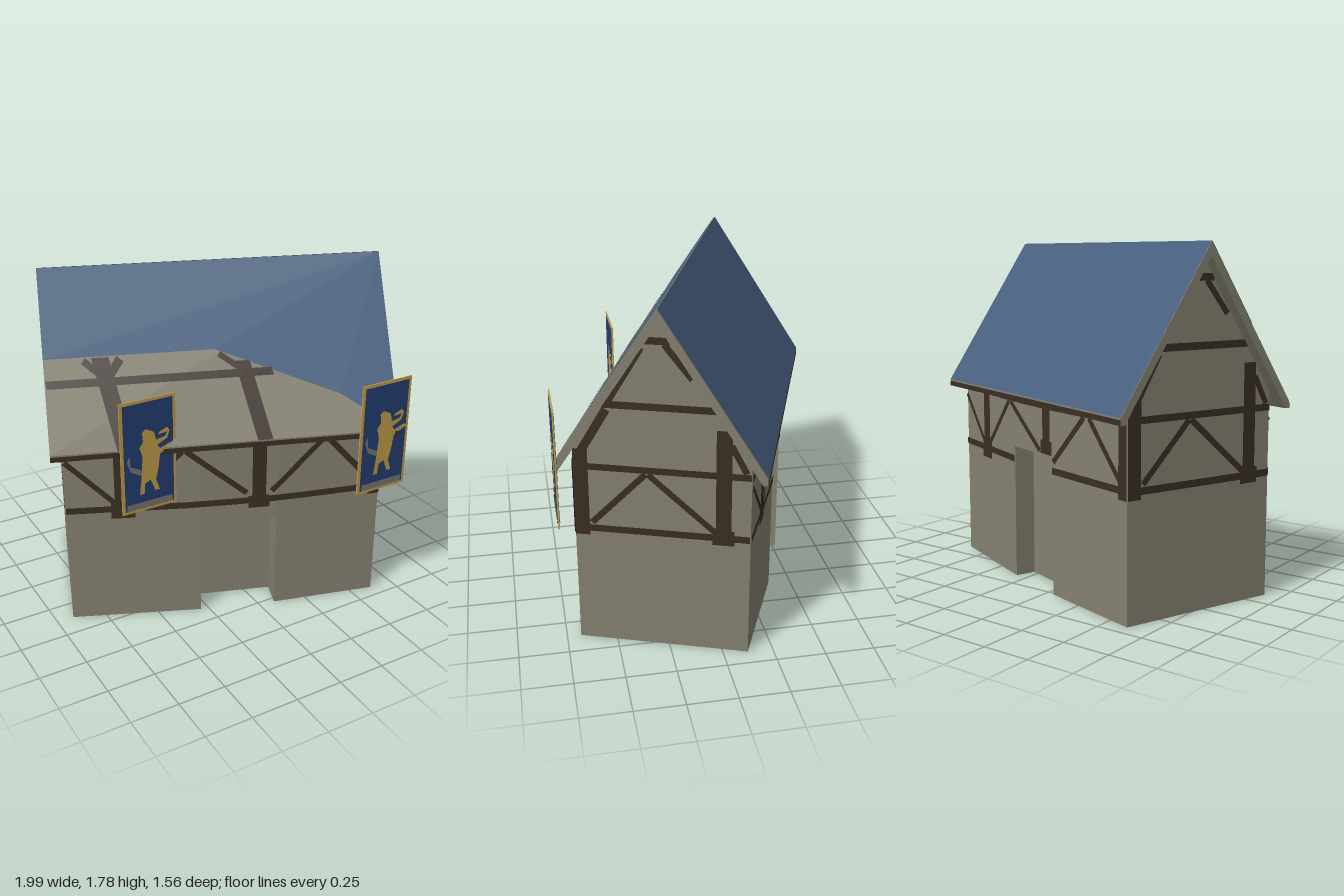
import * as THREE from 'three';

const mat = (name, color) => {
  const m = new THREE.MeshStandardMaterial({ color, side: THREE.DoubleSide });
  m.name = name;
  return m;
};
const V = (x, y, z) => new THREE.Vector3(x, y, z);

// The house is turned on its plot; paint is laid out square to the plot axes.
const TURN = THREE.MathUtils.degToRad(20);
const C = Math.cos(TURN), S = Math.sin(TURN);
const RIDGE = 1.78, PITCH = 1.5415, EAVE = 0.506, HALF_ROOF = 0.875;
const HALF = 0.815, CORNER = 0.427, BOW = 0.47, SKIN = 0.004;
const wallTop = (w) => 1.72 - PITCH * w;

// One mesh from a list of polygons, each fanned from its first point
function patch(name, material, polys) {
  const pos = [];
  for (const p of polys)
    for (let i = 1; i < p.length - 1; i++)
      for (const v of [p[0], p[i], p[i + 1]]) pos.push(v.x, v.y, v.z);
  const g = new THREE.BufferGeometry();
  g.setAttribute('position', new THREE.Float32BufferAttribute(pos, 3));
  g.computeVertexNormals();
  const mesh = new THREE.Mesh(g, material);
  mesh.name = name;
  return mesh;
}

// Straight timber of given width laid onto a surface map (a, b) -> point
function beam(map, [a0, b0, a1, b1, width]) {
  const len = Math.hypot(a1 - a0, b1 - b0), n = 8, out = [];
  const da = (-(b1 - b0) / len) * width / 2, db = ((a1 - a0) / len) * width / 2;
  const at = (t, k) => map(a0 + (a1 - a0) * t + k * da, b0 + (b1 - b0) * t + k * db);
  for (let i = 0; i < n; i++) {
    const t = i / n, s = (i + 1) / n;
    out.push([at(t, -1), at(s, -1), at(s, 1), at(t, 1)]);
  }
  return out;
}

// Front slope of the roof, addressed by plot x and height
function slope(x, y) {
  const w = (RIDGE - y) / PITCH;
  return V((x + w * S) / C, y + SKIN * 0.54, w + SKIN * 0.84);
}
// Same slope, addressed along the ridge
function slopeU(u, y) {
  return V(u, y + SKIN * 0.4, (RIDGE - y) / PITCH + SKIN * 0.6);
}

// Long bowed wall with a door recess, plus the gable at its right end
function halfHouse(d0, d1, h, depth, mats) {
  const g = new THREE.Group();
  const inner = BOW - depth;
  const panel = (u0, w0, u1, w1, y0, y1, y2 = y1) =>
    [V(u0, y0, w0), V(u1, y0, w1), V(u1, y2, w1), V(u0, y1, w0)];
  g.add(patch('longWall', mats.plaster, [
    panel(-HALF, CORNER, d0, BOW, 0, wallTop(CORNER), wallTop(BOW)),
    panel(d1, BOW, HALF, CORNER, 0, wallTop(BOW), wallTop(CORNER)),
    panel(d0, BOW, d1, BOW, h, wallTop(BOW)),
  ]));
  g.add(patch('doorRecess', mats.plaster, [
    panel(d0, BOW, d0, inner, 0, h),
    panel(d0, inner, d1, inner, 0, h),
    panel(d1, inner, d1, BOW, 0, h),
    [V(d0, h, inner), V(d1, h, inner), V(d1, h, BOW), V(d0, h, BOW)],
  ]));
  g.add(patch('gableWall', mats.plaster, [[
    V(HALF, 0, CORNER), V(HALF, 0, -CORNER), V(HALF, wallTop(CORNER), -CORNER),
    V(HALF, 1.72, 0), V(HALF, wallTop(CORNER), CORNER),
  ]]));

  // Timbers of the long wall, kept clear of a tall door
  const wallW = (u) => {
    const t = u < d0 ? (u + HALF) / (d0 + HALF) : u > d1 ? (HALF - u) / (HALF - d1) : 1;
    return CORNER + (BOW - CORNER) * Math.max(0, t);
  };
  const onWall = (u, y) => V(u, y, wallW(u) + SKIN + 0.001);
  const tall = h > 0.6;
  const low = tall ? h + 0.01 : 0.6, foot = tall ? h + 0.02 : 0.69;
  const rails = tall
    ? [[-HALF, 0.645, d0, 0.645, 0.035], [d1, 0.645, HALF, 0.645, 0.035]]
    : [[-HALF, 0.645, HALF, 0.645, 0.035]];
  const timbers = [
    ...rails,
    [-HALF, 0.965, HALF, 0.965, 0.03],
    [0.164, low, 0.164, 0.98, 0.072], [0.164, low, 0.164, low + 0.07, 0.11],
    [-0.53, 0.6, -0.53, 0.98, 0.08], [-0.53, 0.59, -0.53, 0.68, 0.12],
    [0.785, 0.6, 0.785, 1.0, 0.06],
    [-0.81, 0.92, -0.57, 0.68, 0.028], [-0.49, 0.68, -0.23, 0.95, 0.028],
    [-0.21, 0.95, 0.1, foot, 0.03], [0.23, 0.69, 0.49, 0.95, 0.03],
    [0.53, 0.95, 0.77, 0.68, 0.03],
  ];
  g.add(patch('wallTimbers', mats.timber, timbers.flatMap((t) => beam(onWall, t))));

  // Timbers of the gable, addressed by plot z and height
  const onGable = (z, y) => V(HALF + SKIN, y, (z - HALF * S) / C);
  const gable = [
    [0.679, 0.64, -0.12, 0.64, 0.036], [0.679, 0.97, -0.12, 0.97, 0.034],
    [0.55, 1.295, 0.01, 1.295, 0.036], [0.35, 1.615, 0.22, 1.615, 0.035],
    [0.645, 0.6, 0.645, 1.06, 0.068], [0.0, 0.6, 0.0, 1.2, 0.07],
    [0.0, 0.6, 0.0, 0.68, 0.1],
    [0.35, 0.95, 0.6, 0.67, 0.03], [0.34, 0.95, 0.04, 0.67, 0.03],
    [0.65, 1.03, 0.52, 1.27, 0.04], [0.51, 1.31, 0.36, 1.58, 0.03],
    [0.26, 1.6, 0.14, 1.44, 0.03], [-0.1, 0.99, -0.03, 1.13, 0.03],
  ];
  g.add(patch('gableTimbers', mats.timber, gable.flatMap((t) => beam(onGable, t))));

  // Dark edge under the eaves
  const eave = new THREE.Mesh(new THREE.BoxGeometry(2 * HALF_ROOF, 0.026, 0.004), mats.timber);
  eave.name = 'eaveEdge';
  eave.position.set(0, 0.979, EAVE + 0.001);
  g.add(eave);
  return g;
}

function makeBanner(mats) {
  const g = new THREE.Group();
  g.name = 'banner';
  const cloth = new THREE.Mesh(new THREE.BoxGeometry(0.3, 0.6, 0.006), mats.gold);
  cloth.name = 'bannerBorder';
  g.add(cloth);
  const shape = (pts) => new THREE.ShapeGeometry(new THREE.Shape(pts.map(([x, y]) => new THREE.Vector2(x, y))));
  // Rearing beast and its tail
  const beast = [
    [-0.035, 0.13], [-0.015, 0.145], [0.03, 0.12], [0.04, 0.075], [0.09, 0.085], [0.1, 0.105],
    [0.05, 0.1], [0.06, 0.115], [0.1, 0.13], [0.115, 0.11], [0.1, 0.07], [0.045, 0.045], [0.06, 0.025],
    [0.12, 0.045], [0.14, 0.03], [0.06, -0.005], [0.05, -0.08], [0.035, -0.14], [0.055, -0.2],
    [0.03, -0.2], [0.005, -0.135], [-0.025, -0.15], [-0.03, -0.205], [-0.055, -0.205],
    [-0.045, -0.12], [-0.035, 0.0], [-0.05, 0.05], [-0.03, 0.08],
  ];
  const tail = [
    [-0.045, -0.1], [-0.1, -0.07], [-0.12, -0.01], [-0.105, 0.02], [-0.1, -0.04], [-0.042, -0.07],
  ];
  for (const turn of [0, Math.PI]) {
    const face = new THREE.Group();
    face.name = 'bannerFace';
    const add = (name, geo, m, y, z) => {
      const mesh = new THREE.Mesh(geo, m);
      mesh.name = name;
      mesh.position.set(0, y, z);
      face.add(mesh);
    };
    add('field', new THREE.PlaneGeometry(0.268, 0.57), mats.navy, 0, 0.005);
    add('beast', shape(beast), mats.gold, 0, 0.007);
    add('tail', shape(tail), mats.grey, 0, 0.007);
    add('fringe', new THREE.PlaneGeometry(0.25, 0.035), mats.grey, -0.266, 0.007);
    face.rotation.y = turn;
    g.add(face);
  }
  return g;
}

export function createModel() {
  const mats = {
    plaster: mat('plaster', 0x858071), timber: mat('timber', 0x3a2e23),
    blue: mat('roofBlue', 0x476080), navy: mat('bannerNavy', 0x243f72),
    gold: mat('bannerGold', 0xc4a04c), grey: mat('fringeGrey', 0x7d7a74),
  };
  const model = new THREE.Group();
  model.name = 'timberedHouse';
  const house = new THREE.Group();
  house.name = 'house';
  house.rotation.y = -TURN;
  model.add(house);

  // Walls
  const front = halfHouse(-0.14, 0.26, 0.54, 0.14, mats);
  front.name = 'frontHalf';
  const back = halfHouse(-0.17, 0.22, 0.71, 0.11, mats);
  back.name = 'backHalf';
  back.rotation.y = Math.PI;
  house.add(front, back);

  // Roof slab
  const profile = [
    [0, RIDGE], [-EAVE, 1.0], [-EAVE, 0.965], [-0.483, 0.965],
    [0, 1.71], [0.483, 0.965], [EAVE, 0.965], [EAVE, 1.0],
  ].map(([x, y]) => new THREE.Vector2(x, y));
  const slab = new THREE.ExtrudeGeometry(new THREE.Shape(profile), { depth: 2 * HALF_ROOF, bevelEnabled: false });
  slab.translate(0, 0, -HALF_ROOF).rotateY(Math.PI / 2);
  const roof = new THREE.Mesh(slab, mats.plaster);
  roof.name = 'roofSlab';
  house.add(roof);

  // Blue covering: whole back slope, upper part of the front slope
  const u = (x, y) => slope(x, y).x;
  house.add(patch('frontRoofCovering', mats.blue, [[
    slopeU(HALF_ROOF, RIDGE), slopeU(-HALF_ROOF, RIDGE), slopeU(-HALF_ROOF, 1.395),
    slopeU(u(-0.11, 1.395), 1.395), slopeU(u(0.42, 1.17), 1.17), slopeU(HALF_ROOF, 1.0),
  ]]));
  const backCover = patch('backRoofCovering', mats.blue, [[
    slopeU(HALF_ROOF, RIDGE), slopeU(-HALF_ROOF, RIDGE), slopeU(-HALF_ROOF, 1.0), slopeU(HALF_ROOF, 1.0),
  ]]);
  backCover.rotation.y = Math.PI;
  house.add(backCover);

  // Timbers on the bare part of the front slope
  const roofTimbers = [
    [-0.925, 1.288, 0.13, 1.288, 0.034], [0, 1.0, 0, 1.34, 0.072],
    [-0.65, 1.0, -0.65, 1.39, 0.08], [-0.73, 1.38, -0.65, 1.3, 0.035], [-0.56, 1.38, -0.64, 1.3, 0.035],
    [-0.1, 1.375, -0.02, 1.31, 0.03],
  ];
  house.add(patch('roofTimbers', mats.timber, roofTimbers.flatMap((t) => beam(slope, t))));

  // Hanging banners
  for (const [x, z] of [[-0.56, 0.36], [0.56, 0.763]]) {
    const b = makeBanner(mats);
    b.position.set(x, 0.98, z);
    model.add(b);
  }
  return model;
}
